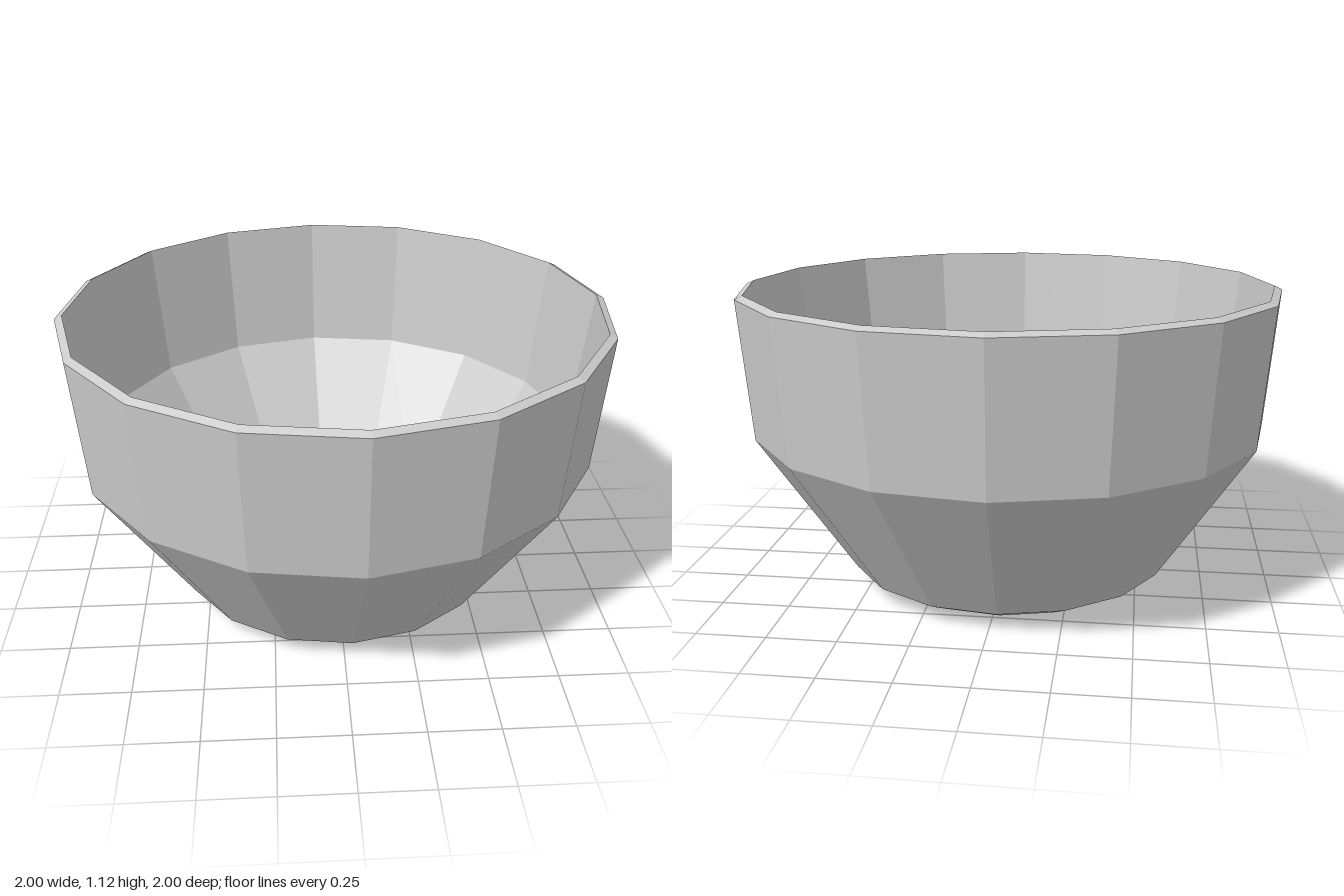
import * as THREE from 'three';

const SIDES = 16;
const TWIST = 0.049; // small turn of the facets about the vertical axis

export function createModel() {
  const group = new THREE.Group();
  group.name = 'bowl';

  // Closed section: underside, outer wall, sloped rim, inner wall, floor
  const profile = [
    [0, 0], [0.482, 0],
    [0.61, 0.065], [0.96, 0.6], [1.001, 1.11],
    [0.973, 1.123],
    [0.913, 0.61], [0.545, 0.075],
    [0, 0.075],
  ].map(([r, y]) => new THREE.Vector2(r, y));

  const bowl = new THREE.Mesh(
    new THREE.LatheGeometry(profile, SIDES, TWIST),
    new THREE.MeshStandardMaterial({ color: 0xcccccc, flatShading: true })
  );
  bowl.name = 'bowlShell';
  group.add(bowl);

  return group;
}
